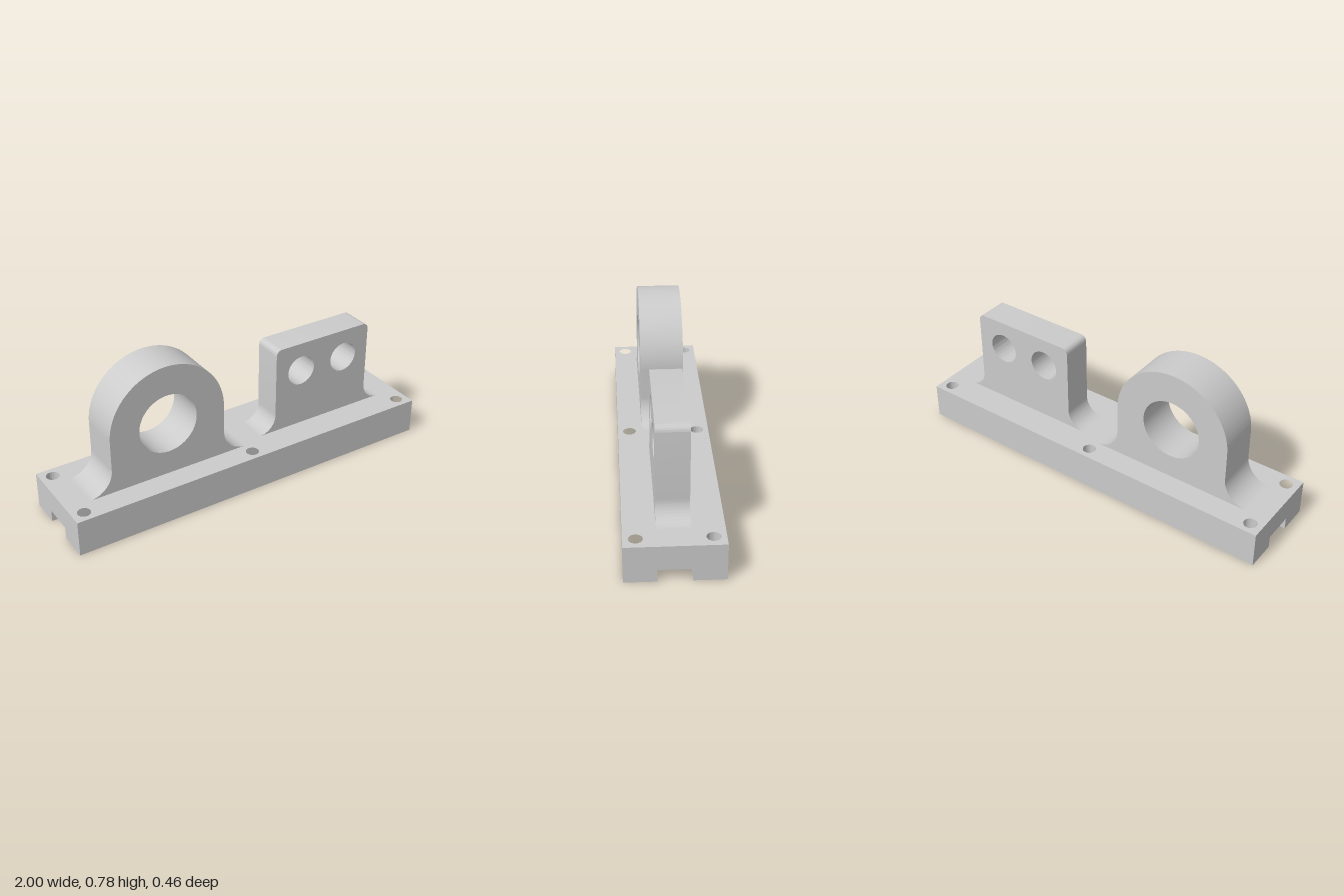
import * as THREE from 'three';
import { toCreasedNormals } from 'three/addons/utils/BufferGeometryUtils.js';

const BASE_H = 0.188, BASE_D = 0.232, SLOT_H = 0.063, SLOT_D = 0.079;
const grey = new THREE.MeshStandardMaterial({ color: 0xcccccc });

function addMesh(group, name, geometry) {
  const mesh = new THREE.Mesh(geometry, grey);
  mesh.name = name;
  group.add(mesh);
  return mesh;
}

function drill(shape, x, y, r) {
  const hole = new THREE.Path();
  hole.absarc(x, y, r, 0, Math.PI * 2, true);
  shape.holes.push(hole);
}

// Extrude along z, with smooth curves and sharp edges
function extrude(shape, depth) {
  const geometry = new THREE.ExtrudeGeometry(shape, { depth, bevelEnabled: false, curveSegments: 32 });
  return toCreasedNormals(geometry, 0.6);
}

// Outline of an upright lug: flared foot fillets, straight sides, rounded top corners
function lugShape(x0, x1, top, foot, corner) {
  const s = new THREE.Shape();
  s.moveTo(x0 - foot, BASE_H);
  s.lineTo(x1 + foot, BASE_H);
  s.absarc(x1 + foot, BASE_H + foot, foot, Math.PI * 1.5, Math.PI, true);
  s.lineTo(x1, top - corner);
  s.absarc(x1 - corner, top - corner, corner, 0, Math.PI / 2, false);
  s.absarc(x0 + corner, top - corner, corner, Math.PI / 2, Math.PI, false);
  s.lineTo(x0, BASE_H + foot);
  s.absarc(x0 - foot, BASE_H + foot, foot, 0, -Math.PI / 2, true);
  return s;
}

export function createModel() {
  const model = new THREE.Group();
  model.name = 'mountingBracket';

  // Base: two drilled rails joined by a raised web, leaving a slot underneath
  const base = new THREE.Group();
  base.name = 'base';
  model.add(base);
  for (const side of [1, -1]) {
    const s = new THREE.Shape();
    const a = side * SLOT_D, b = side * BASE_D;
    s.moveTo(-1, a).lineTo(1, a).lineTo(1, b).lineTo(-1, b).closePath();
    for (const x of [-0.937, 0, 0.937]) drill(s, x, side * 0.173, 0.033);
    const geometry = extrude(s, BASE_H).rotateX(-Math.PI / 2);
    addMesh(base, side > 0 ? 'backRail' : 'frontRail', geometry);
  }
  const web = addMesh(base, 'web', new THREE.BoxGeometry(2, BASE_H - SLOT_H, SLOT_D * 2));
  web.position.y = (BASE_H + SLOT_H) / 2;

  // Round lug with one large bore
  const round = lugShape(-0.752, -0.128, 0.782, 0.125, 0.312);
  drill(round, -0.44, 0.47, 0.157);
  addMesh(model, 'roundLug', extrude(round, 0.218)).position.z = -0.109;

  // Square lug with two smaller bores
  const square = lugShape(0.203, 0.778, 0.657, 0.094, 0.031);
  for (const x of [0.357, 0.623]) drill(square, x, 0.502, 0.08);
  addMesh(model, 'squareLug', extrude(square, SLOT_D * 2)).position.z = -SLOT_D;

  return model;
}
